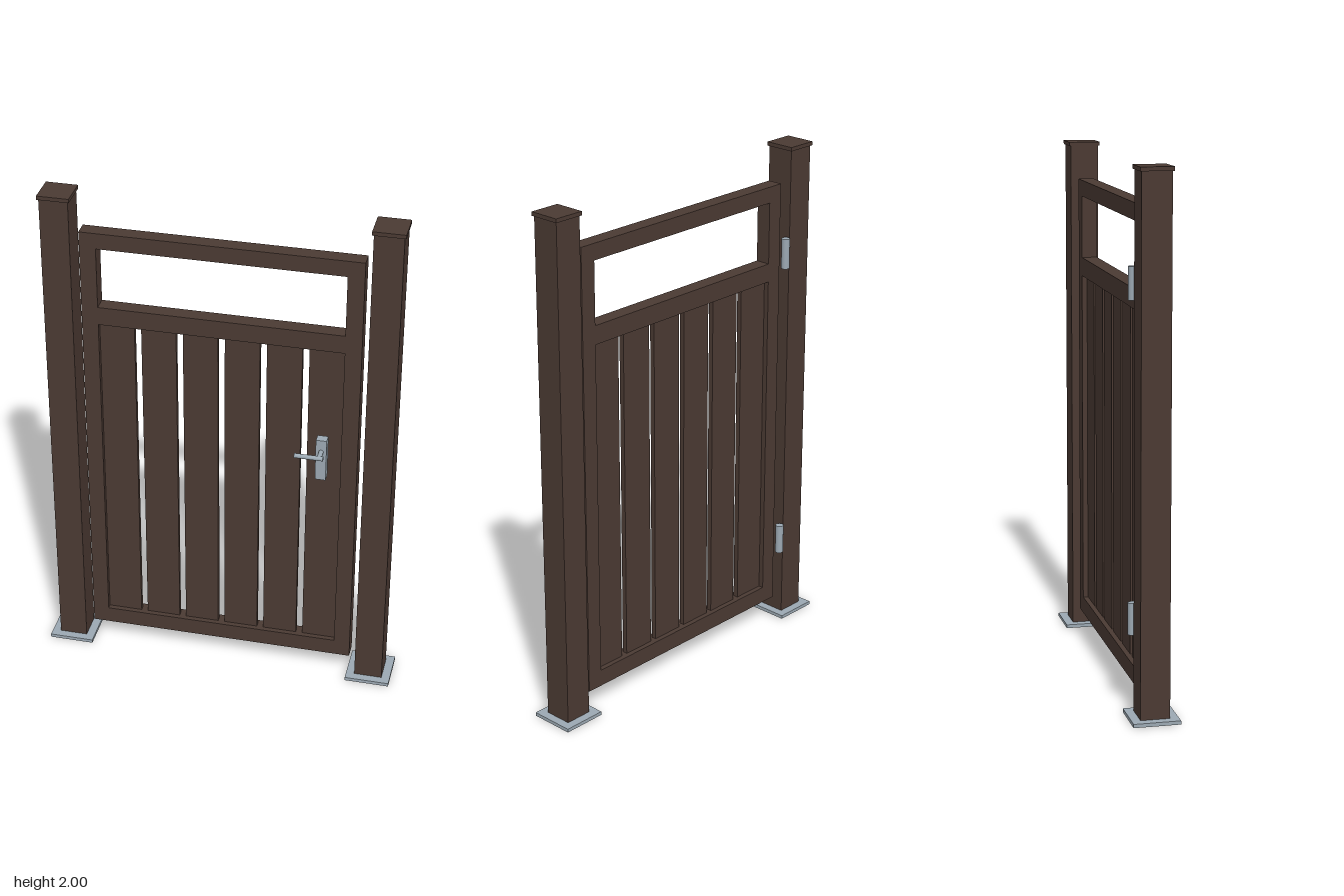
import * as THREE from 'three';

export function createModel() {
  const model = new THREE.Group();
  model.name = 'gardenGate';

  const brown = new THREE.MeshStandardMaterial({ color: 0x4b3a33 });
  brown.name = 'dark brown';
  const steel = new THREE.MeshStandardMaterial({ color: 0x9ca9b3 });
  steel.name = 'steel grey';

  const zMid = -0.02; // shared centre plane of posts and gate leaf

  const add = (name, geometry, material, x, y, z, parent = model) => {
    const mesh = new THREE.Mesh(geometry, material);
    mesh.name = name;
    mesh.position.set(x, y, z);
    parent.add(mesh);
    return mesh;
  };
  // Box given by its x and y limits, centred on z
  const slab = (name, x0, x1, y0, y1, depth, z, material, parent) =>
    add(name, new THREE.BoxGeometry(x1 - x0, y1 - y0, depth), material,
      (x0 + x1) / 2, (y0 + y1) / 2, z, parent);

  // Base plate: a square collar around the post foot
  const square = (Type, s) => new Type([
    new THREE.Vector2(-s, -s), new THREE.Vector2(s, -s),
    new THREE.Vector2(s, s), new THREE.Vector2(-s, s),
  ]);
  const collar = square(THREE.Shape, 0.088);
  collar.holes.push(square(THREE.Path, 0.055));
  const collarGeometry = new THREE.ExtrudeGeometry(collar, { depth: 0.014, bevelEnabled: false });
  collarGeometry.rotateX(-Math.PI / 2);

  // Posts with flat caps
  for (const [side, sign] of [['left', 1], ['right', -1]]) {
    const post = new THREE.Group();
    post.name = side + 'Post';
    model.add(post);
    const x = sign * 0.613;
    slab('postShaft', x - 0.055, x + 0.055, 0, 1.985, 0.11, zMid, brown, post);
    slab('postCap', x - 0.061, x + 0.061, 1.985, 2, 0.122, zMid, brown, post);
    add('basePlate', collarGeometry, steel, x, 0, zMid, post);
  }

  // Gate frame
  const leaf = new THREE.Group();
  leaf.name = 'gateLeaf';
  model.add(leaf);
  const outer = 0.53, inner = 0.467, depth = 0.06;
  slab('rightStile', -outer, -inner, 0.08, 1.857, depth, zMid, brown, leaf);
  slab('leftStile', inner, outer, 0.08, 1.857, depth, zMid, brown, leaf);
  for (const [name, y0, y1] of [
    ['bottomRail', 0.08, 0.147], ['middleRail', 1.477, 1.55], ['topRail', 1.794, 1.857],
  ]) slab(name, -inner, inner, y0, y1, depth, zMid, brown, leaf);

  // Six recessed slats with narrow gaps
  for (let i = 0; i < 6; i++) {
    const x = -0.4 + i * 0.16;
    slab('slat', x - 0.067, x + 0.067, 0.147, 1.477, 0.02, zMid, brown, leaf);
  }

  // Hinge barrels behind the gate
  for (const y of [0.358, 1.583])
    add('hinge', new THREE.CylinderGeometry(0.016, 0.016, 0.12, 16), steel, -0.535, y, -0.076);

  // Lock case, spindle and lever
  const handle = new THREE.Group();
  handle.name = 'handle';
  model.add(handle);
  slab('lockCase', 0.376, 0.417, 0.935, 1.11, 0.036, 0.028, steel, handle);
  add('spindle', new THREE.CylinderGeometry(0.009, 0.009, 0.045, 16), steel, 0.397, 1.06, 0.0675, handle)
    .rotation.x = Math.PI / 2;
  add('lever', new THREE.CylinderGeometry(0.009, 0.009, 0.11, 16), steel, 0.358, 1.06, 0.091, handle)
    .rotation.z = Math.PI / 2;

  return model;
}
